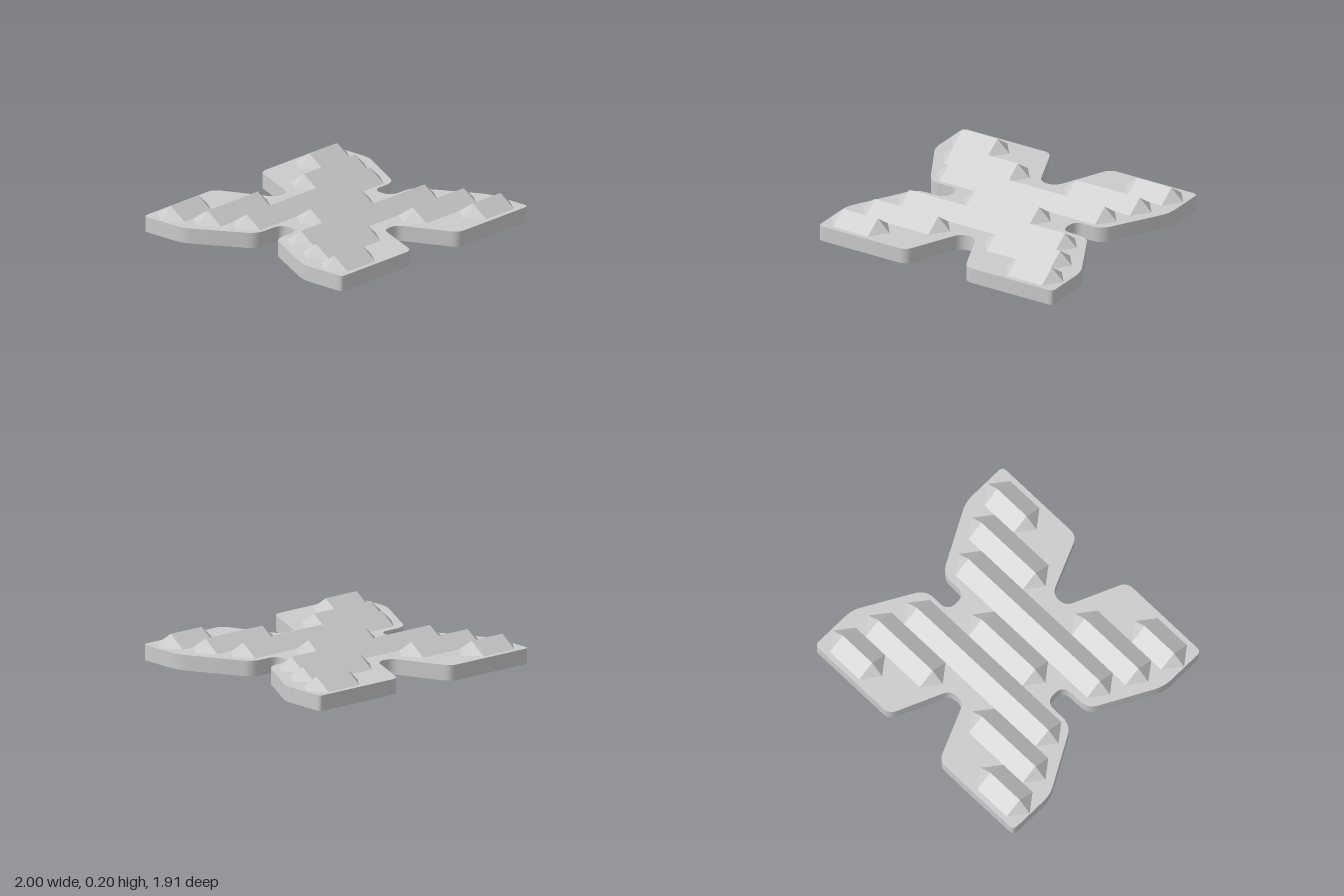
import * as THREE from 'three';
import { toCreasedNormals } from 'three/addons/utils/BufferGeometryUtils.js';

const PLATE_Y = 0.115, RIDGE_Y = 0.205;
const HALF_DEPTH = 0.131, SPACING = 0.262, TIP = 0.1;

// Ridges: [row, left tip, right tip]; rows count from the middle towards the front
const RIDGES = [[0, -0.375, 0.365]];
for (const s of [-1, 1]) {
  RIDGES.push([s, -0.767, 0.757]);
  RIDGES.push([2 * s, -0.895, -0.155], [2 * s, 0.14, 0.885]);
  RIDGES.push([3 * s, -0.995, -0.5], [3 * s, 0.49, 0.985]);
}

// Corners of the outline as [x, -z, rounding], counterclockwise seen from above
function outlineCorners() {
  const quarter = (notchX, notchY) => [
    [notchX, notchY, 0.08], [0.73, notchY, 0.08], [1, 0.58, 0.07],
    [1, 0.955, 0.04], [0.254, 0.955, 0.06], [0.064, 0.517, 0.064],
  ];
  const flip = (list, sx, sy) => list.map(([x, y, r]) => [x * sx, y * sy, r]);
  return [
    ...quarter(0.505, 0.1),
    ...flip(quarter(0.48, 0.1), -1, 1).reverse(),
    ...flip(quarter(0.48, 0.075), -1, -1),
    ...flip(quarter(0.505, 0.075), 1, -1).reverse(),
  ];
}

// Closed polygon with each corner replaced by a curve
function roundedOutline(corners, steps = 7) {
  const points = [];
  corners.forEach(([x, y, r], i) => {
    const n = corners.length;
    const p = new THREE.Vector2(x, y);
    const towards = ([qx, qy]) =>
      new THREE.Vector2(qx, qy).sub(p).setLength(r).add(p);
    const curve = new THREE.QuadraticBezierCurve(
      towards(corners[(i + n - 1) % n]), p, towards(corners[(i + 1) % n]));
    points.push(...curve.getPoints(steps));
  });
  return points.filter((p, i) => p.distanceTo(points[(i + 1) % points.length]) > 0.003);
}

// Six-sided footprint of a ridge in plate coordinates, slightly inset
function ridgeHole([row, x0, x1]) {
  const z = -row * SPACING, h = HALF_DEPTH - 0.001, e = 0.002;
  return new THREE.Path([
    [x0 + e, z], [x0 + TIP, z + h], [x1 - TIP, z + h],
    [x1 - e, z], [x1 - TIP, z - h], [x0 + TIP, z - h],
  ].map(([x, y]) => new THREE.Vector2(x, y)));
}

function triangles(points) {
  const g = new THREE.BufferGeometry();
  g.setAttribute('position', new THREE.Float32BufferAttribute(points.flat(), 3));
  g.computeVertexNormals();
  return g;
}

// Open-bottomed hipped ridge with pointed ends
function ridgeGeometry(x0, x1) {
  const h = HALF_DEPTH, top = RIDGE_Y - PLATE_Y;
  const a = x0 + TIP, b = x1 - TIP;
  const tipL = [x0, 0, 0], tipR = [x1, 0, 0];
  const fl = [a, 0, h], fr = [b, 0, h], bl = [a, 0, -h], br = [b, 0, -h];
  const tl = [a, top, 0], tr = [b, top, 0];
  return triangles([
    fl, fr, tr, fl, tr, tl,
    br, bl, tl, br, tl, tr,
    tipL, fl, tl, bl, tipL, tl,
    fr, tipR, tr, tipR, br, tr,
  ]);
}

// Vertical skirt following the outline
function wallGeometry(points) {
  const tris = [];
  points.forEach((p, i) => {
    const q = points[(i + 1) % points.length];
    const a0 = [p.x, 0, -p.y], b0 = [q.x, 0, -q.y];
    const a1 = [p.x, PLATE_Y, -p.y], b1 = [q.x, PLATE_Y, -q.y];
    tris.push(a0, b0, b1, a0, b1, a1);
  });
  return toCreasedNormals(triangles(tris), 0.6);
}

export function createModel() {
  const group = new THREE.Group();
  group.name = 'ridgedTreadPlate';
  const smooth = new THREE.MeshStandardMaterial({ color: 0xcccccc, side: THREE.DoubleSide });
  const flat = new THREE.MeshStandardMaterial({
    color: 0xcccccc, side: THREE.DoubleSide, flatShading: true,
  });
  const add = (name, geometry, material) => {
    const mesh = new THREE.Mesh(geometry, material);
    mesh.name = name;
    group.add(mesh);
    return mesh;
  };

  const outline = roundedOutline(outlineCorners());

  // Top sheet, open under every ridge
  const shape = new THREE.Shape(outline);
  shape.holes = RIDGES.map(ridgeHole);
  add('topPlate', new THREE.ShapeGeometry(shape).rotateX(-Math.PI / 2), flat)
    .position.y = PLATE_Y;

  // Side wall, open at the bottom
  add('sideWall', wallGeometry(outline), smooth);

  // Rows of hollow ridges
  for (const [row, x0, x1] of RIDGES) {
    add('ridge', ridgeGeometry(x0, x1), flat).position.set(0, PLATE_Y, row * SPACING);
  }
  return group;
}
